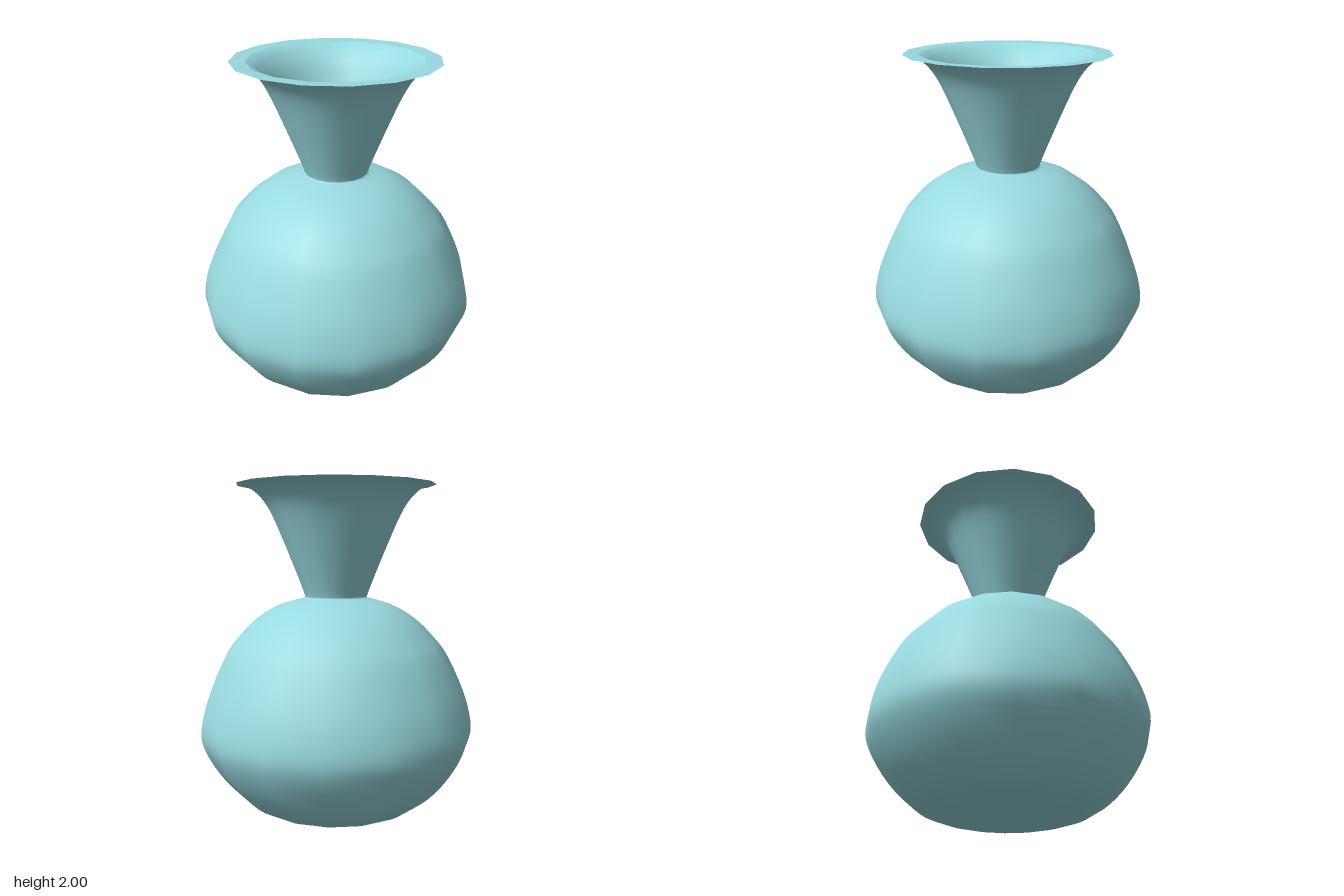
import * as THREE from 'three';

const SIDES = 16;

// Smooth profile through a few [radius, height] points
function profile(points, steps) {
  const curve = new THREE.SplineCurve(points.map(([r, y]) => new THREE.Vector2(r, y)));
  const out = curve.getPoints(steps);
  out.forEach((p) => { p.x = Math.max(0, p.x); });
  return out;
}

function lathe(name, points, material) {
  const geometry = new THREE.LatheGeometry(points, SIDES);
  geometry.normalizeNormals();
  const mesh = new THREE.Mesh(geometry, material);
  mesh.name = name;
  return mesh;
}

export function createModel() {
  const group = new THREE.Group();
  group.name = 'vase';
  const glaze = new THREE.MeshStandardMaterial({ color: 0x98dae0 });
  glaze.name = 'pale turquoise glaze';

  // Outside: round belly, then a flared neck rising from a tight waist
  const belly = profile([
    [0, 0], [0.2, 0.012], [0.4, 0.05], [0.53, 0.105], [0.64, 0.2], [0.73, 0.315],
    [0.8, 0.44], [0.826, 0.54], [0.81, 0.66], [0.765, 0.8], [0.67, 1.0],
    [0.59, 1.105], [0.49, 1.205], [0.37, 1.283], [0.27, 1.318], [0.185, 1.34],
  ], 44);
  const neck = profile([
    [0.185, 1.34], [0.205, 1.4], [0.285, 1.6], [0.37, 1.8], [0.425, 1.9],
    [0.48, 1.96], [0.53, 1.99], [0.59, 2],
  ], 24);
  group.add(lathe('outerWall', [...belly, ...neck.slice(1)], glaze));

  // Flat lip around the mouth
  group.add(lathe('rim', [new THREE.Vector2(0.59, 2), new THREE.Vector2(0.5, 1.997)], glaze));

  // Inside: funnel down to the waist, hollow belly, flat floor
  const funnel = profile([
    [0.5, 1.997], [0.475, 1.985], [0.44, 1.96], [0.385, 1.9], [0.33, 1.8],
    [0.245, 1.6], [0.165, 1.4], [0.147, 1.35],
  ], 24);
  const hollow = profile([
    [0.147, 1.35], [0.155, 1.315], [0.26, 1.28], [0.36, 1.245], [0.47, 1.17], [0.63, 0.99],
    [0.725, 0.79], [0.77, 0.65], [0.786, 0.54], [0.76, 0.45], [0.69, 0.335],
    [0.6, 0.225], [0.5, 0.14], [0.38, 0.085], [0.2, 0.05], [0, 0.04],
  ], 40);
  group.add(lathe('innerWall', [...funnel, ...hollow.slice(1)], glaze));

  return group;
}
